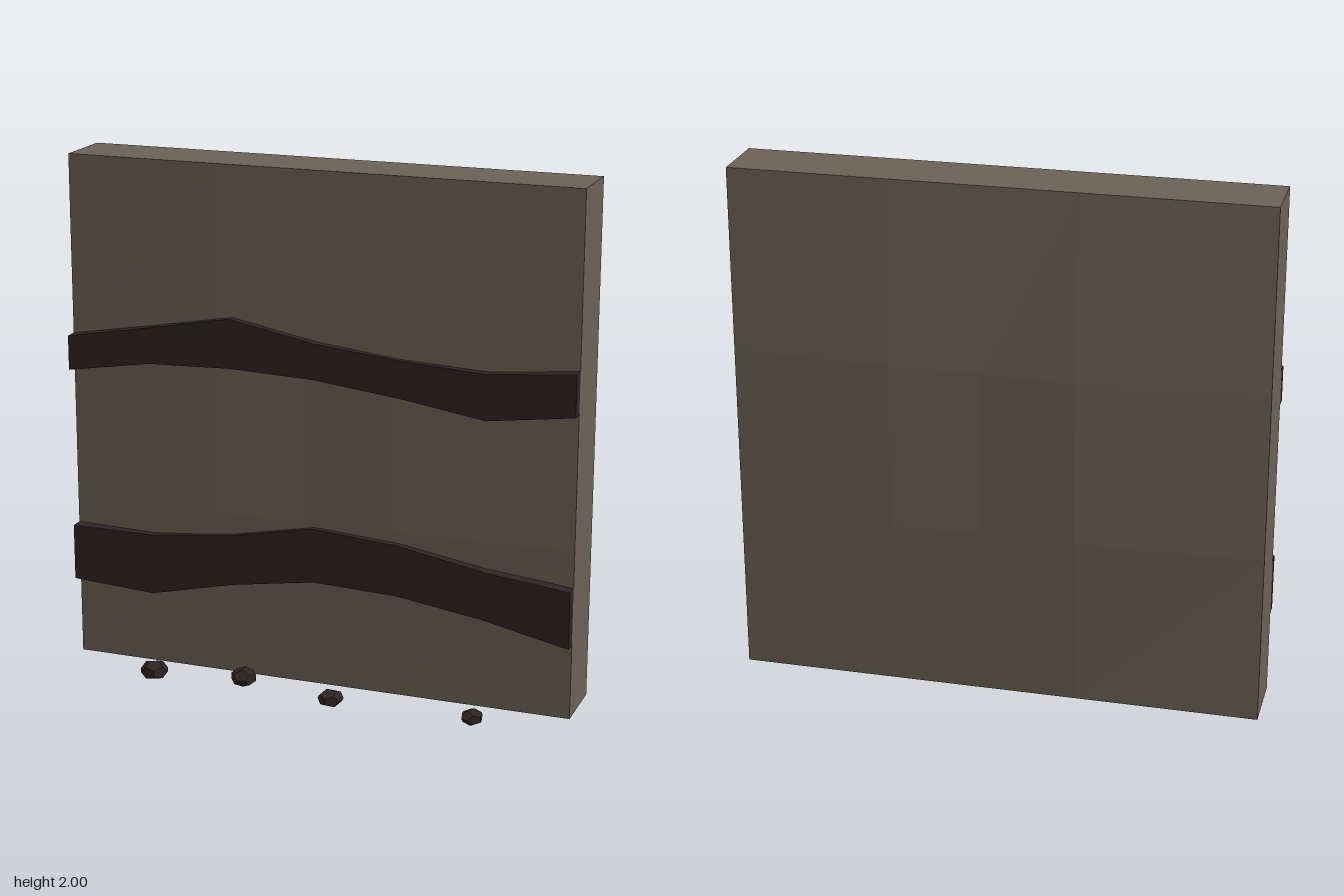
import * as THREE from 'three';

const stone = new THREE.MeshStandardMaterial({ color: 0x6b6256, flatShading: true, side: THREE.DoubleSide });
stone.name = 'stone';
const darkRock = new THREE.MeshStandardMaterial({ color: 0x2e2425, flatShading: true });
darkRock.name = 'dark rock';

const FRONT = 0.015, BACK = -0.235;

function add(parent, name, geometry, material) {
  const mesh = new THREE.Mesh(geometry, material);
  mesh.name = name;
  parent.add(mesh);
  return mesh;
}

// Large wall face with straight edges and gently bulging inner points
function bulgedFace(bulge) {
  const xs = [-1, -0.4, -0.05, 0.3, 1], ys = [2, 1.3, 0.66, 0];
  const geometry = new THREE.PlaneGeometry(2, 2, 4, 3);
  const p = geometry.attributes.position;
  for (let r = 0; r < 4; r++) {
    for (let c = 0; c < 5; c++) {
      const inner = r > 0 && r < 3 && c > 0 && c < 4;
      p.setXYZ(r * 5 + c, xs[c], ys[r], inner ? bulge[r - 1][c - 1] : 0);
    }
  }
  geometry.computeVertexNormals();
  return geometry;
}

// Rock seam: a bent strip given by its upper and lower heights, evenly spaced across the wall
function seam(upper, lower) {
  const at = (y, i) => new THREE.Vector2(-1 + i / 3, y);
  const outline = [...lower.map(at), ...upper.map(at).reverse()];
  const geometry = new THREE.ExtrudeGeometry(new THREE.Shape(outline), { depth: 0.05, bevelEnabled: false });
  return geometry.translate(0, 0, FRONT);
}

export function createModel() {
  const model = new THREE.Group();
  model.name = 'rockWall';

  // Wall, open underneath
  const wall = new THREE.Group();
  wall.name = 'wall';
  model.add(wall);
  add(wall, 'frontFace', bulgedFace([[0.025, 0.02, 0.03], [0.037, 0.03, 0.025]]), stone).position.z = FRONT;
  const back = bulgedFace([[0.03, 0.028, 0.045], [0.032, 0.025, 0.03]]);
  back.rotateY(Math.PI);
  add(wall, 'backFace', back, stone).position.z = BACK;
  const depth = FRONT - BACK, middle = (FRONT + BACK) / 2;
  for (const side of [-1, 1]) {
    const geometry = new THREE.PlaneGeometry(depth, 2).rotateY(side * Math.PI / 2);
    add(wall, side > 0 ? 'leftSide' : 'rightSide', geometry, stone).position.set(side, 1, middle);
  }
  add(wall, 'topSide', new THREE.PlaneGeometry(2, depth).rotateX(-Math.PI / 2), stone).position.set(0, 2, middle);

  // Dark seams across the front
  add(model, 'upperSeam', seam(
    [1.305, 1.365, 1.428, 1.364, 1.33, 1.31, 1.34],
    [1.17, 1.225, 1.237, 1.225, 1.187, 1.135, 1.18]), darkRock);
  add(model, 'lowerSeam', seam(
    [0.54, 0.54, 0.577, 0.643, 0.617, 0.555, 0.517],
    [0.32, 0.3, 0.377, 0.43, 0.417, 0.367, 0.295]), darkRock);

  // Loose pebbles at the foot of the wall: x, z, radius
  const pebbles = [[-0.605, 0.2, 0.056], [-0.255, 0.145, 0.052], [0.13, 0.225, 0.05], [0.68, 0.21, 0.044]];
  pebbles.forEach(([x, z, r], i) => {
    const geometry = new THREE.DodecahedronGeometry(r).rotateY(i * 1.3 + 0.4).scale(1, 0.7, 1);
    add(model, 'pebble' + (i + 1), geometry, darkRock).position.set(x, 0.04, z);
  });

  return model;
}
